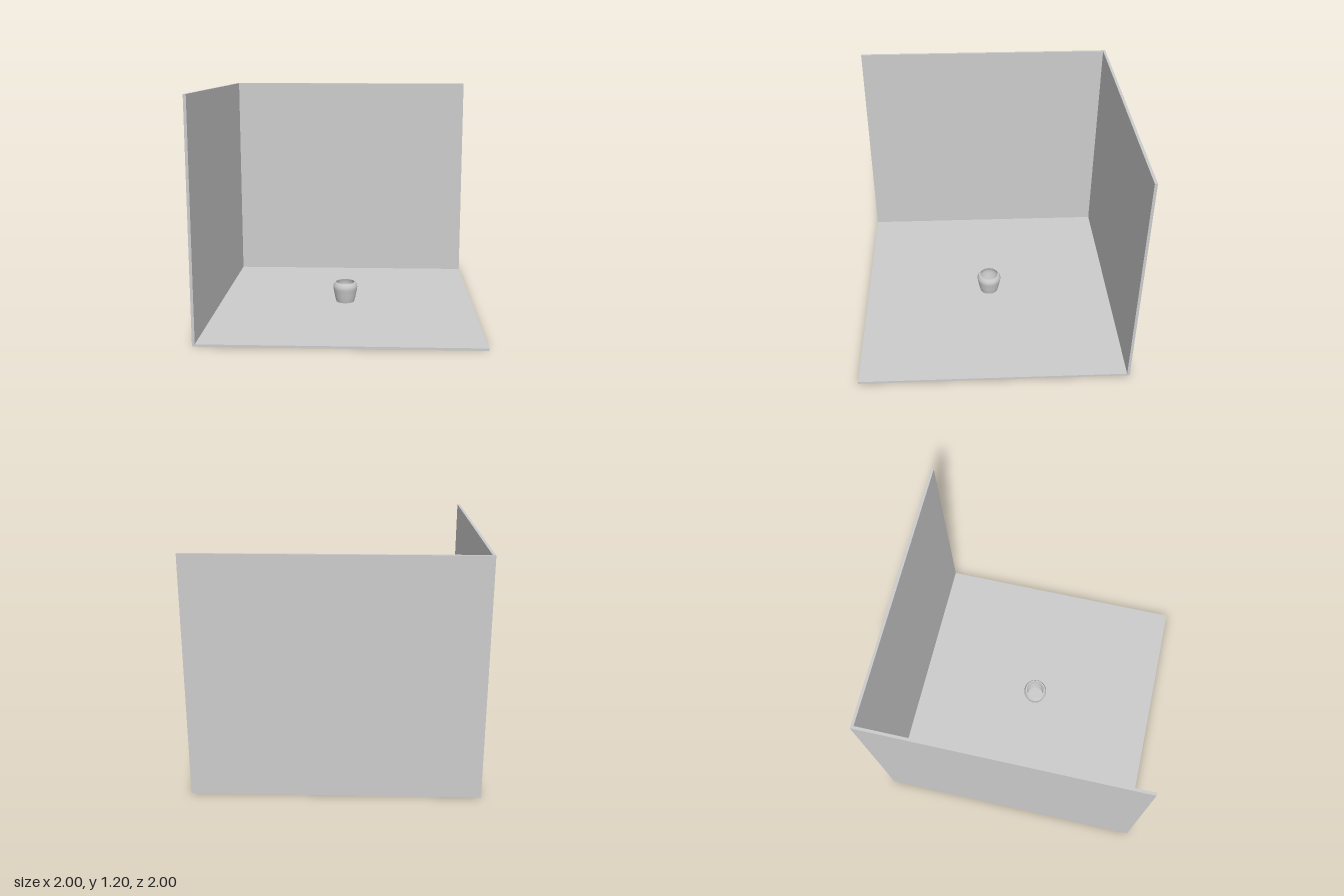
import * as THREE from 'three';

export function createModel() {
  const model = new THREE.Group();
  const lightGrey = new THREE.MeshStandardMaterial({ color: 0xcccccc });
  lightGrey.name = 'lightGrey';

  const side = Math.SQRT2, half = side / 2;
  const thick = 0.014, floorTop = 0.012, height = 1.2;

  // Square room corner, turned so that its inner corner points to the back
  const room = new THREE.Group();
  room.name = 'room';
  room.rotation.y = Math.PI / 4;
  model.add(room);

  function slab(name, w, h, d, x, y, z) {
    const mesh = new THREE.Mesh(new THREE.BoxGeometry(w, h, d), lightGrey);
    mesh.name = name;
    mesh.position.set(x, y, z);
    room.add(mesh);
  }
  const wallHeight = height - floorTop, wallY = floorTop + wallHeight / 2;
  slab('floor', side, floorTop, side, 0, floorTop / 2, 0);
  slab('backWall', side, wallHeight, thick, 0, wallY, -half + thick / 2);
  slab('sideWall', thick, wallHeight, side - thick, half - thick / 2, wallY, thick / 2);

  // Hollow cup: outside, rounded shoulder and rim, then the inside
  const outer = new THREE.SplineCurve([
    [0.05, 0.012], [0.056, 0.035], [0.062, 0.065], [0.067, 0.092],
    [0.065, 0.108], [0.058, 0.123],
  ].map(p => new THREE.Vector2(...p))).getPoints(20);
  const inner = new THREE.SplineCurve([
    [0.051, 0.123], [0.056, 0.108], [0.058, 0.092], [0.054, 0.06], [0.046, 0.02],
  ].map(p => new THREE.Vector2(...p))).getPoints(16);

  function lathe(name, points) {
    const mesh = new THREE.Mesh(new THREE.LatheGeometry(points, 48), lightGrey);
    mesh.name = name;
    cup.add(mesh);
  }
  const cup = new THREE.Group();
  cup.name = 'cup';
  model.add(cup);
  lathe('cupOutside', outer);
  lathe('cupRim', [outer[outer.length - 1], inner[0]]);
  lathe('cupInside', inner);
  lathe('cupBottom', [inner[inner.length - 1], new THREE.Vector2(0, 0.02)]);

  return model;
}
